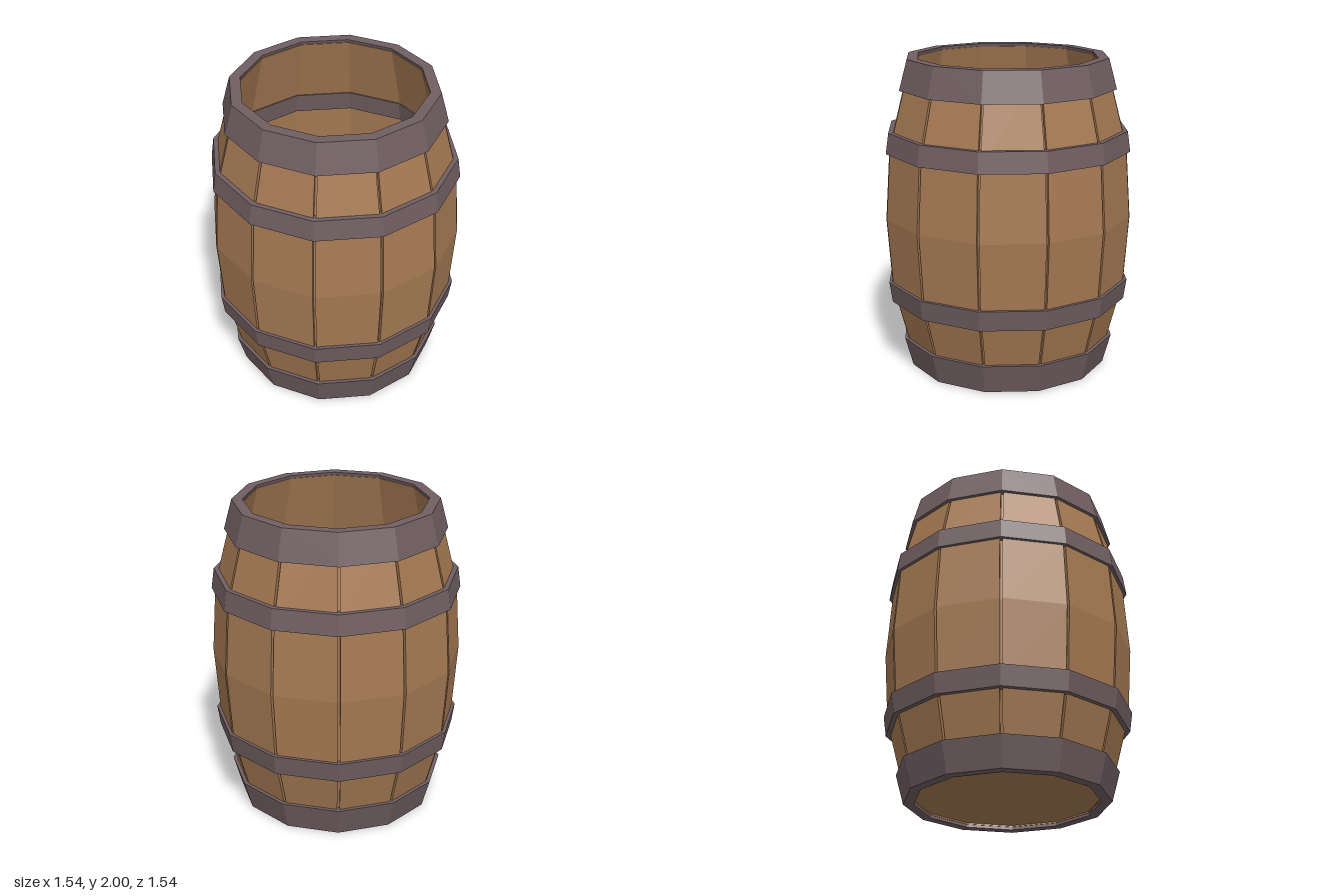
import * as THREE from 'three';

const SIDES = 12;
const STEP = (Math.PI * 2) / SIDES;
const HALF = STEP / 2;
const GAP = 0.016;

// Flat-face distance from the axis at five heights: outer face of the staves
const LEVELS = [0.02, 0.55, 1, 1.45, 1.98];
const BULGE = [0.605, 0.738, 0.768, 0.738, 0.605];

const wood = new THREE.MeshStandardMaterial({ color: 0xa67a53 });
wood.name = 'oak wood';
const iron = new THREE.MeshStandardMaterial({ color: 0x705e62 });
iron.name = 'dark iron';

function faceted(geometry) {
  const flat = geometry.index ? geometry.toNonIndexed() : geometry;
  flat.computeVertexNormals();
  return flat;
}

// Twelve-sided ring from a closed [distance, height] profile: outside going up, inside going down
function ring(name, profile, material) {
  const points = [...profile, profile[0]].map(([r, y]) => new THREE.Vector2(r / Math.cos(HALF), y));
  const mesh = new THREE.Mesh(faceted(new THREE.LatheGeometry(points, SIDES, HALF)), material);
  mesh.name = name;
  return mesh;
}

// One curved plank: a box whose rows follow the bulge, narrowing towards the ends
function staveGeometry() {
  const geometry = new THREE.BoxGeometry(1, 1, 1, 1, LEVELS.length - 1, 1);
  const p = geometry.attributes.position;
  for (let i = 0; i < p.count; i++) {
    const row = Math.round((p.getY(i) + 0.5) * (LEVELS.length - 1));
    const r = BULGE[row] - (p.getZ(i) > 0 ? 0 : 0.03);
    const halfWidth = r * Math.tan(HALF) - GAP / 2;
    p.setXYZ(i, Math.sign(p.getX(i)) * halfWidth, LEVELS[row], r);
  }
  return faceted(geometry);
}

export function createModel() {
  const barrel = new THREE.Group();
  barrel.name = 'barrel';

  // Planks around the body
  const staves = new THREE.Group();
  staves.name = 'staves';
  const plank = staveGeometry();
  for (let i = 0; i < SIDES; i++) {
    const stave = new THREE.Mesh(plank, wood);
    stave.name = 'stave';
    stave.rotation.y = i * STEP;
    staves.add(stave);
  }
  barrel.add(staves);

  // Thin inner wall that closes the grooves between planks
  const outer = LEVELS.map((y, i) => [BULGE[i] - 0.025, y]);
  const inner = LEVELS.map((y, i) => [BULGE[i] - 0.05, y]).reverse();
  barrel.add(ring('innerWall', [...outer, ...inner], wood));

  // Wide end hoops and narrow middle hoops, mirrored about mid height
  const endHoop = [[0.67, 1.81], [0.62, 2], [0.555, 2], [0.6, 1.81]];
  const middleHoop = [[0.76, 1.42], [0.742, 1.55], [0.655, 1.55], [0.673, 1.42]];
  const mirrored = (profile) => profile.map(([r, y]) => [r, 2 - y]).reverse();
  barrel.add(ring('topHoop', endHoop, iron));
  barrel.add(ring('upperHoop', middleHoop, iron));
  barrel.add(ring('lowerHoop', mirrored(middleHoop), iron));
  barrel.add(ring('bottomHoop', mirrored(endHoop), iron));

  // Floor set slightly above the bottom rim
  const radius = 0.59 / Math.cos(HALF);
  const floor = new THREE.Mesh(
    faceted(new THREE.CylinderGeometry(radius, radius, 0.07, SIDES, 1, false, HALF)), wood);
  floor.name = 'floor';
  floor.position.y = 0.065;
  barrel.add(floor);

  return barrel;
}
